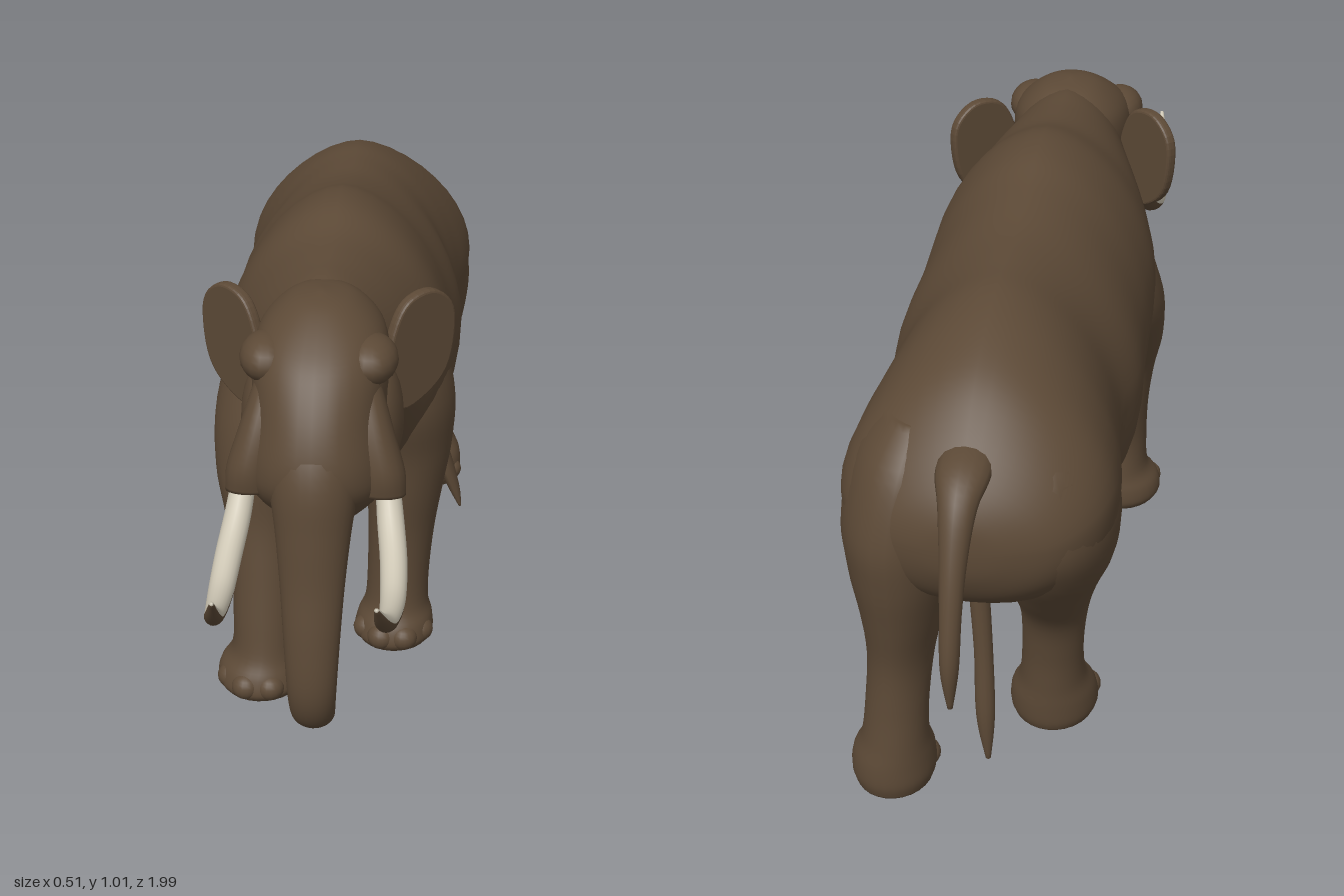
import * as THREE from 'three';

const skin = new THREE.MeshStandardMaterial({ color: 0x5c4936 });
skin.name = 'brown skin';
const ivory = new THREE.MeshStandardMaterial({ color: 0xcdc6b4 });
ivory.name = 'ivory';

// Smooth interpolation through rows of [x, y, z, halfWidth, halfDepth]
function sampleRows(rows, t) {
  const f = t * (rows.length - 1);
  const i = Math.min(Math.floor(f), rows.length - 2);
  const u = f - i;
  const row = (k) => rows[Math.max(0, Math.min(rows.length - 1, k))];
  return rows[0].map((_, c) => {
    const [a, b, d, e] = [row(i - 1)[c], row(i)[c], row(i + 1)[c], row(i + 2)[c]];
    return b + 0.5 * u * (d - a + u * (2 * a - 5 * b + 4 * d - e + u * (3 * (b - d) + e - a)));
  });
}

// Closed skin over elliptical sections. A fixed travel direction keeps the
// sections parallel; otherwise they follow the path. power holds the roundness
// of the two ring halves. Faces accepted by isUnder(angle, t) go to material 1.
function loft(rows, { travel = null, sides = 28, steps = 5, power = [2, 2], isUnder = null } = {}) {
  const n = (rows.length - 1) * steps;
  const X = new THREE.Vector3(1, 0, 0);
  const pos = [], main = [], under = [];
  for (let i = 0; i <= n; i++) {
    const [x, y, z, rx, rn] = sampleRows(rows, i / n);
    let T = travel;
    if (!T) {
      const a = sampleRows(rows, Math.max(0, i - 1) / n);
      const b = sampleRows(rows, Math.min(n, i + 1) / n);
      T = new THREE.Vector3(0, b[1] - a[1], b[2] - a[2]).normalize();
    }
    const N = new THREE.Vector3().crossVectors(T, X).normalize();
    for (let j = 0; j < sides; j++) {
      const a = (j / sides) * Math.PI * 2;
      const e = 2 / power[j * 2 < sides ? 0 : 1];
      const bend = (v) => Math.sign(v) * Math.abs(v) ** e;
      const p = bend(Math.cos(a)) * Math.max(rx, 0.001);
      const q = bend(Math.sin(a)) * Math.max(rn, 0.001);
      pos.push(x + p, y + N.y * q, z + N.z * q);
    }
  }
  for (let i = 0; i < n; i++) {
    for (let j = 0; j < sides; j++) {
      const a = i * sides + j, b = i * sides + ((j + 1) % sides);
      const list = isUnder && isUnder(((j + 0.5) / sides) * Math.PI * 2, i / n) ? under : main;
      list.push(a, b, a + sides, b, b + sides, a + sides);
    }
  }
  // End caps
  const first = rows[0], last = rows[rows.length - 1];
  const c0 = pos.length / 3;
  pos.push(...first.slice(0, 3), ...last.slice(0, 3));
  for (let j = 0; j < sides; j++) {
    const k = (j + 1) % sides;
    main.push(c0, k, j, c0 + 1, n * sides + j, n * sides + k);
  }
  const g = new THREE.BufferGeometry();
  g.setAttribute('position', new THREE.Float32BufferAttribute(pos, 3));
  g.setIndex([...main, ...under]);
  g.addGroup(0, main.length, 0);
  g.addGroup(main.length, under.length, 1);
  g.computeVertexNormals();
  return g;
}

export function createModel() {
  const model = new THREE.Group();
  model.name = 'elephant';
  const add = (name, geometry, material = skin, parent = model) => {
    const mesh = new THREE.Mesh(geometry, material);
    mesh.name = name;
    parent.add(mesh);
    return mesh;
  };
  const ball = (name, x, y, z, rx, ry, rz, parent) => {
    const m = add(name, new THREE.SphereGeometry(1, 18, 12), skin, parent);
    m.position.set(x, y, z);
    m.scale.set(rx, ry, rz);
    return m;
  };
  const down = new THREE.Vector3(0, -1, 0);
  const back = new THREE.Vector3(0, 0, -1);

  // Torso: z, bottom, top, half width
  const torso = [
    [0.45, 0.64, 0.95, 0.11], [0.35, 0.6, 0.978, 0.135], [0.25, 0.57, 0.982, 0.17],
    [0.15, 0.46, 0.99, 0.21], [0.05, 0.38, 1.015, 0.232], [-0.05, 0.335, 1.012, 0.235],
    [-0.15, 0.315, 0.985, 0.238], [-0.28, 0.315, 0.958, 0.245], [-0.4, 0.315, 0.95, 0.224],
    [-0.5, 0.315, 0.945, 0.232], [-0.6, 0.33, 0.92, 0.249], [-0.7, 0.4, 0.875, 0.251],
    [-0.78, 0.45, 0.81, 0.224], [-0.84, 0.5, 0.74, 0.165], [-0.872, 0.56, 0.68, 0.08],
    [-0.88, 0.615, 0.625, 0.005],
  ].map(([z, b, t, w]) => [0, (b + t) / 2, z, w, (t - b) / 2]);
  add('body', loft(torso, { travel: back, sides: 40, power: [2.2, 1.75] }));

  // Head: y, back z, front z, half width
  const head = [
    [0.985, 0.4, 0.42, 0.005], [0.972, 0.33, 0.475, 0.06], [0.93, 0.29, 0.545, 0.108],
    [0.88, 0.28, 0.6, 0.126], [0.8, 0.28, 0.65, 0.126], [0.72, 0.29, 0.675, 0.138],
    [0.66, 0.33, 0.66, 0.135], [0.6, 0.375, 0.6, 0.095], [0.55, 0.41, 0.51, 0.055],
    [0.53, 0.44, 0.46, 0.005],
  ].map(([y, b, f, w]) => [0, y, (b + f) / 2, w, (f - b) / 2]);
  add('head', loft(head, { travel: down, sides: 36, power: [2.2, 2.2] }));

  add('trunk', loft([
    [0, 0.86, 0.45, 0.07, 0.05], [0, 0.78, 0.56, 0.083, 0.07], [0, 0.7, 0.61, 0.083, 0.075],
    [0, 0.6, 0.638, 0.07, 0.06], [0, 0.5, 0.66, 0.06, 0.046], [0, 0.4, 0.678, 0.053, 0.041],
    [0, 0.3, 0.685, 0.047, 0.039], [0, 0.24, 0.668, 0.043, 0.036], [0, 0.21, 0.637, 0.04, 0.031],
    [0, 0.204, 0.608, 0.035, 0.027], [0, 0.21, 0.58, 0.024, 0.022],
  ]));

  for (const s of [1, -1]) {
    const side = s > 0 ? 'left' : 'right';
    // Face bulges
    ball(side + 'Brow', s * 0.094, 0.885, 0.49, 0.052, 0.045, 0.07);
    ball(side + 'Cheek', s * 0.098, 0.73, 0.42, 0.056, 0.12, 0.11);
    add(side + 'TuskSheath', loft([
      [s * 0.08, 0.85, 0.51, 0.035, 0.04], [s * 0.1, 0.77, 0.55, 0.042, 0.052],
      [s * 0.118, 0.7, 0.572, 0.046, 0.052], [s * 0.122, 0.655, 0.582, 0.044, 0.038],
    ], { sides: 18 }));

    // Tusks: ivory above, skin-brown beneath, the brown rising towards the tip
    const tusk = [
      [0.13, 0.69, 0.56, 0.022], [0.14, 0.62, 0.61, 0.025], [0.15, 0.572, 0.68, 0.025],
      [0.154, 0.546, 0.77, 0.023], [0.151, 0.563, 0.87, 0.018], [0.145, 0.605, 0.94, 0.014],
      [0.138, 0.66, 0.995, 0.004],
    ].map(([x, y, z, r]) => [s * x, y, z, r, r]);
    const isUnder = (a, t) => Math.sin(a) < -0.45 + 0.6 * t;
    add(side + 'Tusk', loft(tusk, { sides: 20, isUnder }), [ivory, skin]);

    // Ears: thin rounded flaps flaring outwards
    const outline = [[0, 0.9], [0.03, 0.938], [0.085, 0.945], [0.128, 0.91], [0.134, 0.85],
      [0.115, 0.78], [0.07, 0.742], [0.01, 0.728], [-0.02, 0.8]];
    const shape = new THREE.Shape();
    shape.setFromPoints(new THREE.CatmullRomCurve3(
      outline.map(([x, y]) => new THREE.Vector3(s * x, y, 0)), true,
    ).getPoints(40).slice(0, -1).map((p) => new THREE.Vector2(p.x, p.y)));
    const ear = add(side + 'Ear', new THREE.ExtrudeGeometry(shape, {
      depth: 0.008, bevelSize: 0.006, bevelThickness: 0.008, bevelSegments: 3,
    }));
    ear.position.set(s * 0.13, 0, 0.365);
    ear.rotation.y = s * 0.74;
  }

  // Legs in mid-stride, each listed from shoulder or hip to sole
  const legs = {
    frontLeftLeg: [
      [0.09, 0.84, 0.05, 0.06, 0.1], [0.105, 0.76, 0.045, 0.095, 0.14], [0.135, 0.62, 0.04, 0.105, 0.15],
      [0.148, 0.5, 0.04, 0.09, 0.115], [0.142, 0.4, 0.045, 0.08, 0.092], [0.135, 0.3, 0.04, 0.071, 0.08],
      [0.13, 0.2, 0.04, 0.066, 0.075], [0.127, 0.12, 0.045, 0.067, 0.075],
      [0.124, 0.08, 0.052, 0.08, 0.09], [0.122, 0.05, 0.056, 0.084, 0.094], [0.122, 0.033, 0.056, 0.076, 0.085],
    ],
    frontRightLeg: [
      [-0.09, 0.84, 0.07, 0.06, 0.1], [-0.105, 0.76, 0.09, 0.095, 0.13], [-0.135, 0.62, 0.13, 0.105, 0.135],
      [-0.148, 0.5, 0.18, 0.09, 0.1], [-0.143, 0.4, 0.21, 0.075, 0.073], [-0.137, 0.3, 0.23, 0.068, 0.069],
      [-0.135, 0.2, 0.25, 0.066, 0.068], [-0.135, 0.12, 0.255, 0.069, 0.08],
      [-0.142, 0.08, 0.262, 0.086, 0.092], [-0.143, 0.05, 0.266, 0.09, 0.096], [-0.143, 0.033, 0.266, 0.08, 0.087],
    ],
    rearLeftLeg: [
      [0.1, 0.8, -0.66, 0.07, 0.1], [0.118, 0.72, -0.665, 0.105, 0.165], [0.135, 0.6, -0.67, 0.117, 0.195],
      [0.137, 0.5, -0.67, 0.11, 0.19], [0.14, 0.4, -0.69, 0.085, 0.15], [0.145, 0.3, -0.72, 0.064, 0.1],
      [0.15, 0.2, -0.75, 0.06, 0.07], [0.155, 0.12, -0.757, 0.064, 0.07], [0.162, 0.07, -0.745, 0.078, 0.088],
      [0.163, 0.03, -0.742, 0.081, 0.092], [0.163, 0.003, -0.742, 0.074, 0.085],
    ],
    rearRightLeg: [
      [-0.1, 0.8, -0.64, 0.07, 0.1], [-0.118, 0.72, -0.65, 0.105, 0.165], [-0.135, 0.6, -0.65, 0.117, 0.195],
      [-0.135, 0.5, -0.63, 0.11, 0.17], [-0.125, 0.4, -0.6, 0.085, 0.12], [-0.12, 0.3, -0.565, 0.065, 0.075],
      [-0.115, 0.2, -0.55, 0.06, 0.06], [-0.112, 0.12, -0.53, 0.065, 0.07], [-0.11, 0.07, -0.505, 0.083, 0.092],
      [-0.11, 0.03, -0.493, 0.087, 0.1], [-0.11, 0.01, -0.493, 0.08, 0.093],
    ],
  };
  for (const [name, rows] of Object.entries(legs)) {
    const leg = new THREE.Group();
    leg.name = name;
    model.add(leg);
    add(name + 'Limb', loft(rows, { travel: down }), skin, leg);
    // Toes fanned round the front of the foot
    const [x, y, z, rx, rz] = rows[rows.length - 1];
    for (const a of [-1.15, -0.4, 0.4, 1.15]) {
      ball('toe', x + Math.sin(a) * rx * 0.8, y + 0.027, z + Math.cos(a) * rz * 0.88, 0.03, 0.028, 0.03, leg);
    }
  }

  // Loose fold of skin behind the left elbow
  add('elbowFold', loft([
    [0.19, 0.5, -0.02, 0.02, 0.03], [0.22, 0.42, -0.015, 0.018, 0.035],
    [0.243, 0.36, -0.005, 0.012, 0.02], [0.257, 0.32, 0.005, 0.003, 0.004],
  ], { travel: down, sides: 12 }));

  // Tail and the slender strand hanging between the hind legs
  add('tail', loft([
    [0, 0.77, -0.72, 0.045, 0.03], [0, 0.755, -0.82, 0.05, 0.032], [0, 0.72, -0.88, 0.035, 0.028],
    [0, 0.64, -0.925, 0.025, 0.024], [0, 0.55, -0.957, 0.02, 0.02], [0, 0.45, -0.976, 0.017, 0.02],
    [0, 0.365, -0.978, 0.005, 0.006],
  ], { sides: 16 }));
  add('hangingStrand', loft([
    [-0.01, 0.5, -0.76, 0.02, 0.02], [-0.02, 0.34, -0.77, 0.018, 0.018],
    [-0.025, 0.2, -0.785, 0.018, 0.017], [-0.03, 0.1, -0.79, 0.005, 0.005],
  ], { travel: down, sides: 14 }));

  return model;
}
